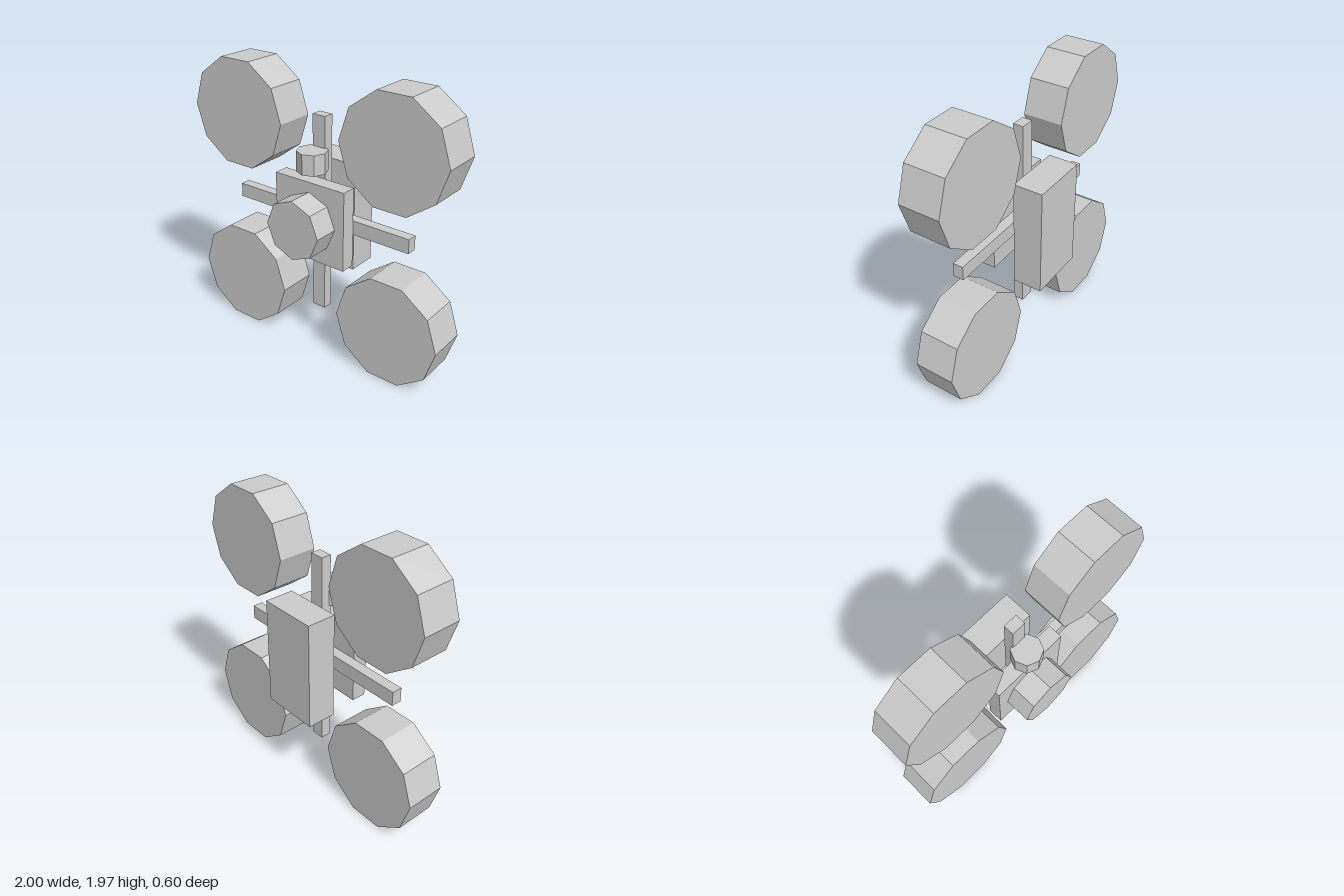
import * as THREE from 'three';

const material = new THREE.MeshStandardMaterial({ color: 0xcccccc, flatShading: true });

export function createModel() {
  const model = new THREE.Group();

  const add = (name, geometry, x, y, z) => {
    const mesh = new THREE.Mesh(geometry, material);
    mesh.name = name;
    mesh.position.set(x, y, z);
    model.add(mesh);
  };
  const box = (name, w, h, d, x, y, z) => add(name, new THREE.BoxGeometry(w, h, d), x, y, z);
  const midY = 0.985;

  // Four ten-sided rotors facing front, each with a corner pointing sideways
  for (const side of [1, -1]) {
    for (const up of [1, -1]) {
      const rotor = new THREE.CylinderGeometry(0.385, 0.385, 0.28, 10);
      rotor.rotateY(Math.PI / 2).rotateX(Math.PI / 2);
      add((up > 0 ? 'upper' : 'lower') + (side > 0 ? 'LeftRotor' : 'RightRotor'),
        rotor, side * 0.615, 0.983 + up * 0.617, -0.019);
    }
  }

  // Crossed bars behind the body
  box('horizontalBar', 1.406, 0.1, 0.073, 0, midY, -0.019);
  box('verticalBar', 0.1, 1.406, 0.073, 0, midY, -0.019);

  // Square body and the separate back block
  box('body', 0.56, 0.56, 0.104, 0, midY, 0.07);
  box('backBlock', 0.42, 0.77, 0.208, 0, midY, -0.195);

  // Eight-sided nose on the body front
  const nose = new THREE.CylinderGeometry(0.21, 0.21, 0.178, 8).rotateX(Math.PI / 2);
  add('nose', nose, 0, midY, 0.21);

  // Small upright knob above the body
  add('knob', new THREE.CylinderGeometry(0.104, 0.104, 0.14, 8), 0, 1.405, 0.086);

  return model;
}
